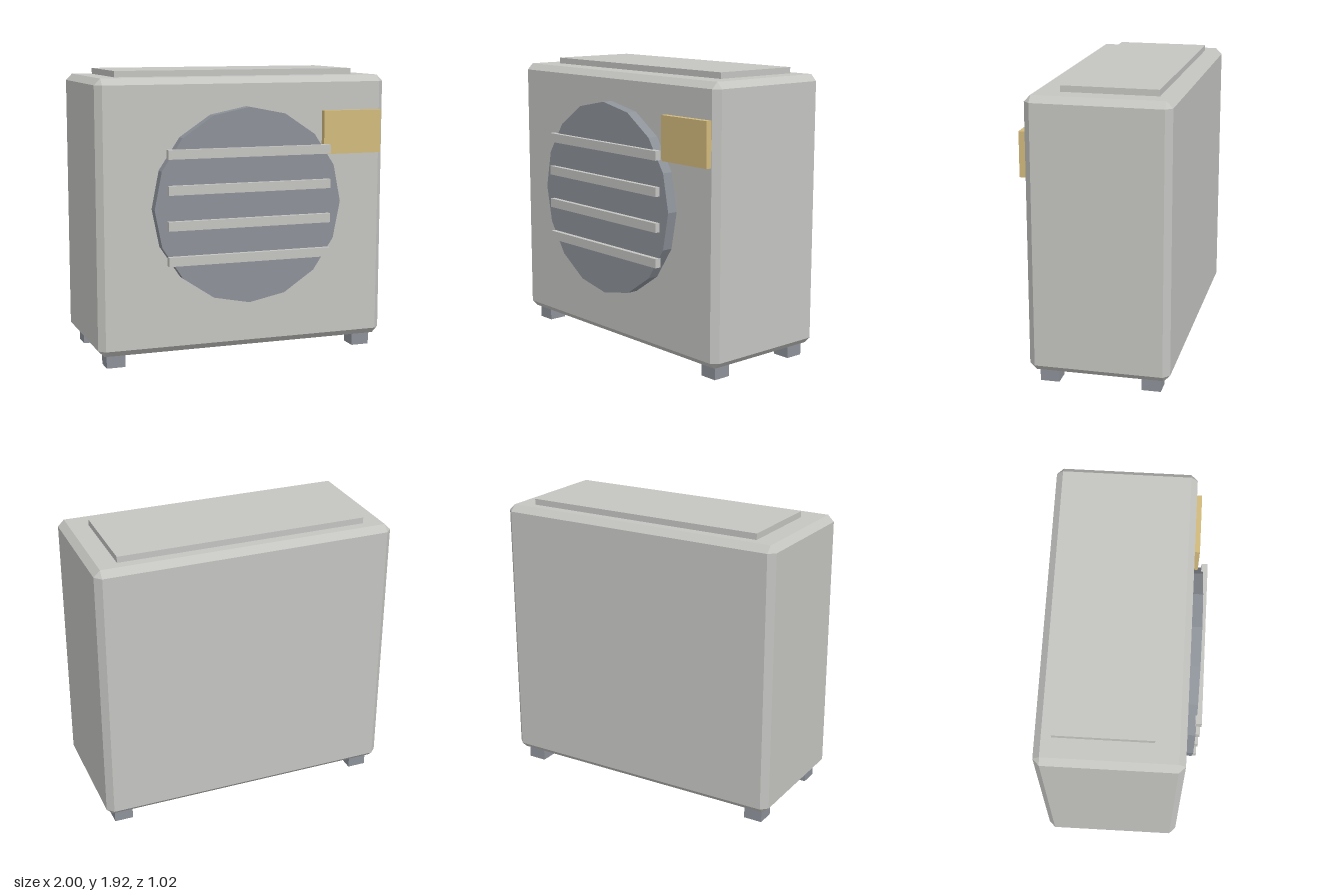
import * as THREE from 'three';
import { ConvexGeometry } from 'three/addons/geometries/ConvexGeometry.js';

// Box with flat chamfers on every edge and triangular corners
function chamferedBox(w, h, d, c) {
  const points = [];
  for (const sx of [-1, 1]) for (const sy of [-1, 1]) for (const sz of [-1, 1]) {
    const x = w / 2, y = h / 2, z = d / 2;
    points.push(
      new THREE.Vector3(sx * x, sy * (y - c), sz * (z - c)),
      new THREE.Vector3(sx * (x - c), sy * y, sz * (z - c)),
      new THREE.Vector3(sx * (x - c), sy * (y - c), sz * z),
    );
  }
  return new ConvexGeometry(points);
}

export function createModel() {
  const model = new THREE.Group();
  model.name = 'outdoorFanUnit';

  const material = (name, color) => {
    const m = new THREE.MeshStandardMaterial({ color, flatShading: true });
    m.name = name;
    return m;
  };
  const casingGrey = material('casingGrey', 0xc4c4c1);
  const slateGrey = material('slateGrey', 0x8d9299);
  const labelGold = material('labelGold', 0xd2ba7c);

  const add = (name, geometry, mat, x, y, z) => {
    const mesh = new THREE.Mesh(geometry, mat);
    mesh.name = name;
    mesh.position.set(x, y, z);
    model.add(mesh);
    return mesh;
  };

  // Casing and raised lid
  const midZ = -0.052;
  add('casing', chamferedBox(2, 1.795, 0.916, 0.042), casingGrey, 0, 0.9825, midZ);
  add('lid', new THREE.BoxGeometry(1.665, 0.06, 0.62), casingGrey, 0, 1.89, -0.095);

  // Sixteen-sided fan disc, slightly sunk into the casing
  const fan = new THREE.CylinderGeometry(0.645, 0.645, 0.1, 16);
  fan.rotateX(Math.PI / 2);
  add('fanDisc', fan, slateGrey, 0, 1.045, 0.428);

  // Grille slats across the fan
  for (let i = 0; i < 4; i++) {
    add('grilleSlat', new THREE.BoxGeometry(1.12, 0.06, 0.042), casingGrey, 0, 0.71 + i * 0.23, 0.489);
  }

  // Label plate
  add('labelPlate', new THREE.BoxGeometry(0.415, 0.29, 0.06), labelGold, 0.747, 1.505, 0.416);

  // Feet
  for (const sx of [-1, 1]) for (const sz of [-1, 1]) {
    add('foot', new THREE.BoxGeometry(0.125, 0.11, 0.125), slateGrey, sx * 0.877, 0.055, midZ + sz * 0.333);
  }

  return model;
}
